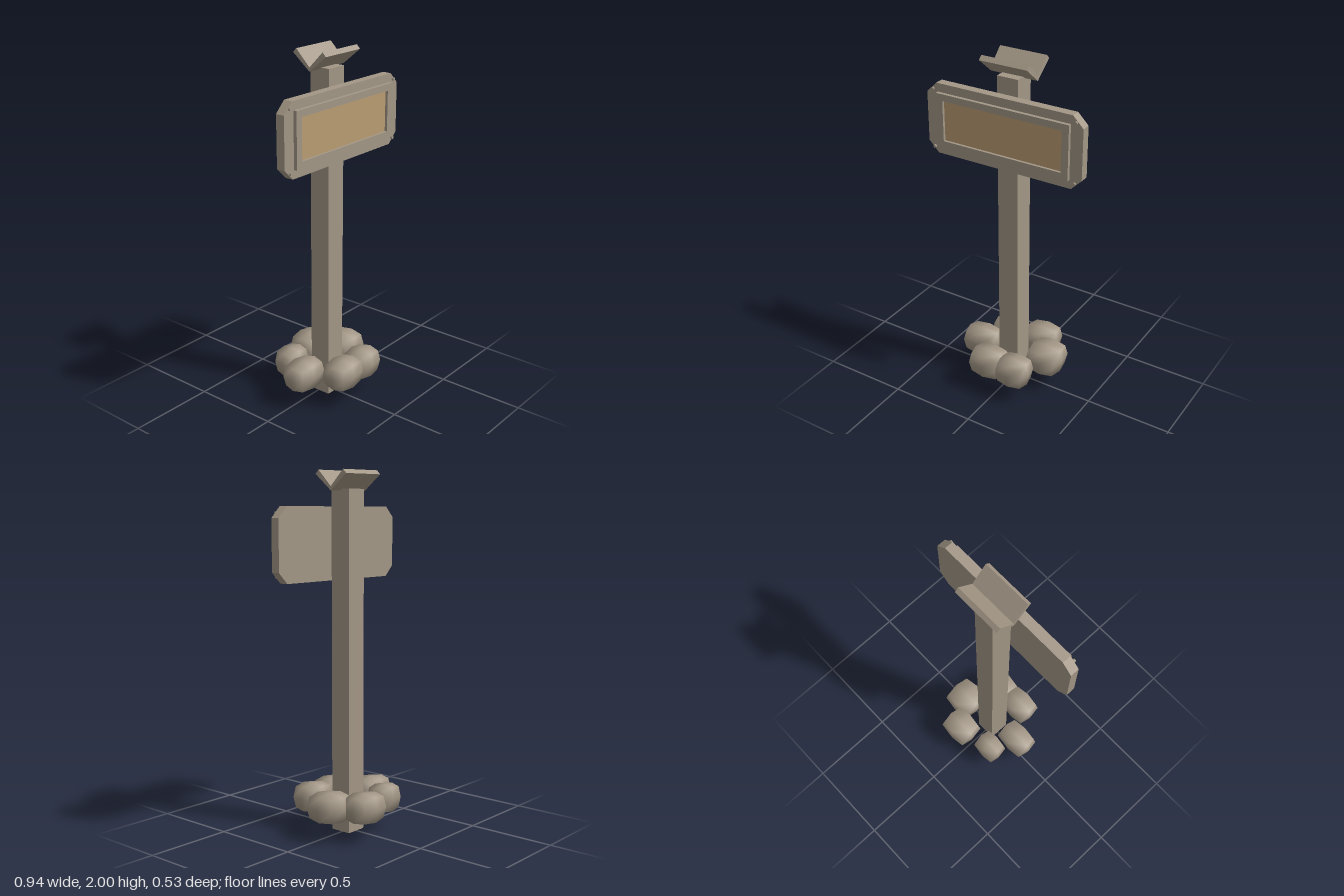
import * as THREE from 'three';
import { mergeVertices } from 'three/addons/utils/BufferGeometryUtils.js';

const stoneGrey = new THREE.MeshStandardMaterial({ color: 0xa39786 });
stoneGrey.name = 'warm grey';
const tan = new THREE.MeshStandardMaterial({ color: 0xbb9d72 });
tan.name = 'tan panel';

function add(parent, name, geometry, material, x = 0, y = 0, z = 0) {
  const mesh = new THREE.Mesh(geometry, material);
  mesh.name = name;
  mesh.position.set(x, y, z);
  parent.add(mesh);
  return mesh;
}

const polygon = (points) => new THREE.Shape(points.map(([x, y]) => new THREE.Vector2(x, y)));
const rectangle = (w, h) => [[-w, -h], [w, -h], [w, h], [-w, h]];
const extrude = (shape, depth) => new THREE.ExtrudeGeometry(shape, { depth, bevelEnabled: false });

// Boulder: a coarse box with its edges and corners pulled in, shaded smooth
function boulderGeometry() {
  let geo = new THREE.BoxGeometry(2, 2, 2, 2, 2, 2);
  geo.deleteAttribute('uv');
  geo.deleteAttribute('normal');
  geo = mergeVertices(geo);
  const pull = [0, 1, 0.88, 0.77];
  const p = geo.attributes.position;
  const v = new THREE.Vector3();
  for (let i = 0; i < p.count; i++) {
    v.fromBufferAttribute(p, i);
    const sides = Math.round(Math.abs(v.x) + Math.abs(v.y) + Math.abs(v.z));
    v.multiplyScalar(pull[sides]);
    p.setXYZ(i, v.x, v.y, v.z);
  }
  geo.computeVertexNormals();
  return geo;
}

export function createModel() {
  const model = new THREE.Group();
  model.name = 'signpost';

  // Square post
  add(model, 'post', new THREE.BoxGeometry(0.124, 1.9, 0.124), stoneGrey, 0, 0.95, 0.012);

  // V-shaped cap along x
  const cap = extrude(polygon([
    [0.01, 1.89], [0.118, 1.978], [0.097, 2], [0.01, 1.912], [-0.077, 2], [-0.098, 1.978],
  ]), 0.28);
  cap.rotateY(-Math.PI / 2);
  // shape x now runs along +z and the depth along -x
  add(model, 'cap', cap, stoneGrey, 0.14, 0, 0);

  // Sign board with cut corners, raised frame, panel and bolts
  const sign = new THREE.Group();
  sign.name = 'sign';
  sign.position.set(0, 1.607, 0);
  model.add(sign);

  const w = 0.468, h = 0.2, c = 0.06;
  const board = polygon([
    [-w + c, -h], [w - c, -h], [w, -h + c], [w, h - c],
    [w - c, h], [-w + c, h], [-w, h - c], [-w, -h + c],
  ]);
  add(sign, 'board', extrude(board, 0.051), stoneGrey, 0, 0, 0.074);

  const frame = polygon(rectangle(0.398, 0.152));
  frame.holes.push(new THREE.Path(polygon(rectangle(0.358, 0.114)).getPoints().reverse()));
  add(sign, 'frame', extrude(frame, 0.02), stoneGrey, 0, 0, 0.125);
  add(sign, 'panel', new THREE.BoxGeometry(0.716, 0.228, 0.006), tan, 0, 0, 0.127);

  const bolt = new THREE.CylinderGeometry(0.009, 0.009, 0.012, 8).rotateX(Math.PI / 2);
  for (const x of [-0.428, 0.428]) {
    for (const y of [-0.165, 0.165]) add(sign, 'bolt', bolt, stoneGrey, x, y, 0.13);
  }

  // Ring of boulders: centre x, centre z, half width, half depth
  const boulders = [
    [-0.135, -0.14, 0.086, 0.07],
    [0.082, -0.18, 0.104, 0.089],
    [0.198, -0.03, 0.103, 0.102],
    [-0.212, 0.018, 0.109, 0.08],
    [-0.064, 0.182, 0.106, 0.083],
    [0.106, 0.182, 0.096, 0.083],
  ];
  const boulder = boulderGeometry();
  for (const [x, z, sx, sz] of boulders) {
    add(model, 'boulder', boulder, stoneGrey, x, 0.18, z).scale.set(sx, 0.079, sz);
  }
  return model;
}
